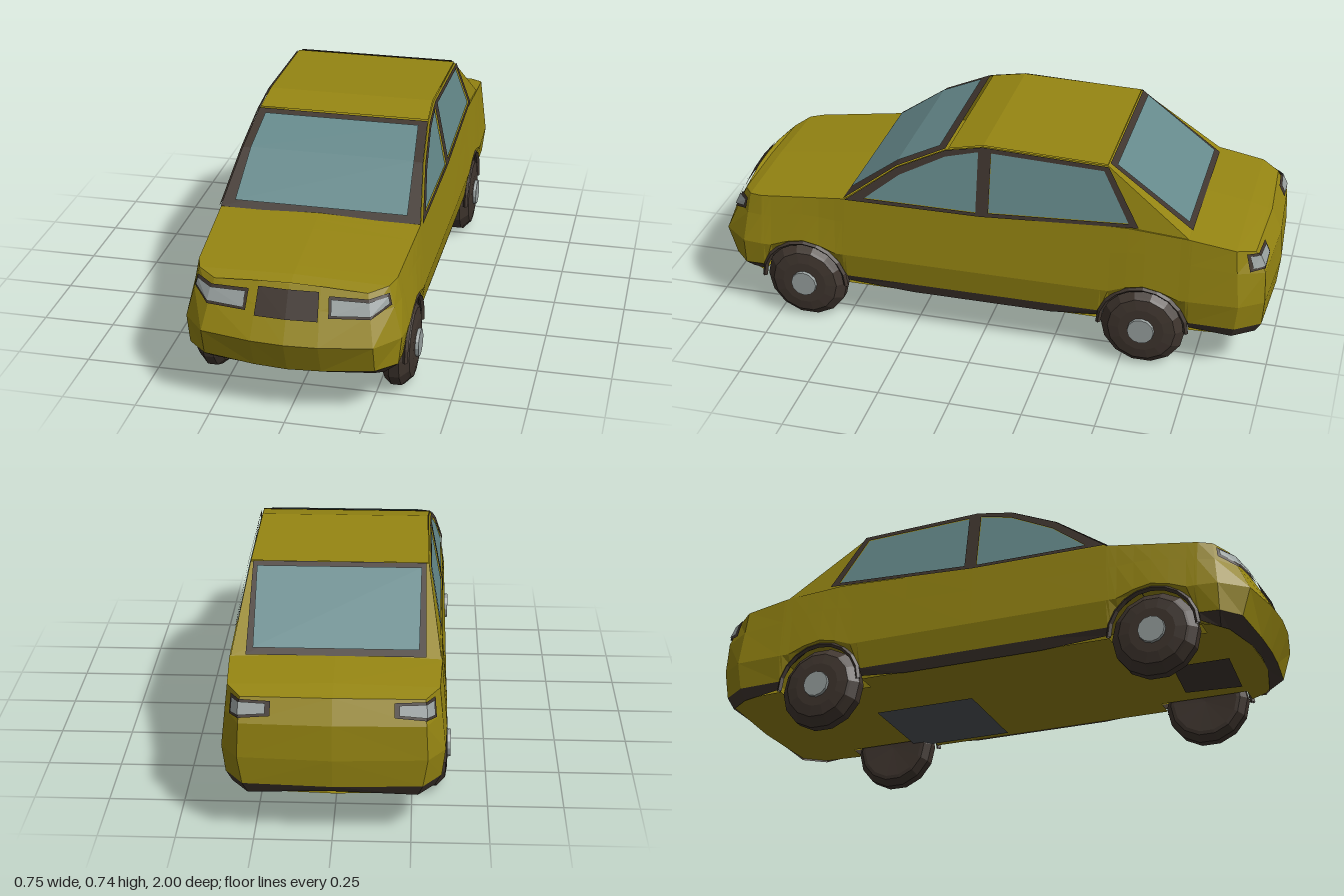
import * as THREE from 'three';

const mat = (name, color) => new THREE.MeshStandardMaterial({ name, color, side: THREE.DoubleSide });

// flat-shaded surface through rows of [x, y, z] points
function grid(rows) {
  const pos = [];
  for (let j = 0; j + 1 < rows.length; j++) {
    for (let i = 0; i + 1 < rows[j].length; i++) {
      const a = rows[j][i], b = rows[j][i + 1], c = rows[j + 1][i + 1], d = rows[j + 1][i];
      pos.push(...a, ...b, ...c, ...a, ...c, ...d);
    }
  }
  const g = new THREE.BufferGeometry();
  g.setAttribute('position', new THREE.Float32BufferAttribute(pos, 3));
  g.computeVertexNormals();
  return g;
}
function faceted(geo) {
  const g = geo.index ? geo.toNonIndexed() : geo;
  g.computeVertexNormals();
  return g;
}
const mix = (a, b, t) => a.map((v, i) => v + (b[i] - v) * t);
const shapeOf = (pts) => new THREE.Shape(pts.map((p) => new THREE.Vector2(...p)));

// wheel arches
const AXLES = [0.645, -0.575], ARCH = 0.158;
const archY = (z) => Math.max(0, ...AXLES.map((a) =>
  Math.abs(z - a) < ARCH ? 0.15 + Math.sqrt(ARCH ** 2 - (z - a) ** 2) : 0));

// height of the belt, bonnet and boot edge along z
const BELT = [[0.85, 0.455], [0.49, 0.5], [0, 0.505], [-0.5, 0.53], [-0.72, 0.515], [-0.88, 0.49]];
function beltY(z) {
  const i = Math.max(1, BELT.findIndex((p) => p[0] <= z));
  const [a, b] = [BELT[i - 1], BELT[i]];
  return a[1] + (b[1] - a[1]) * (z - a[0]) / (b[0] - a[0]);
}

// stations around half of the body; each holds skirt bottom, skirt top, waist and shoulder
function makeStations() {
  const side = (z) => {
    const arch = archY(z), hood = Math.max(0, z - 0.49) * 0.05;
    return [[0.335, Math.max(0.153, arch), z], [0.347, Math.max(0.192, arch), z],
      [0.362, Math.max(0.285, arch + 0.012), z], [0.342 - hood, beltY(z), z]];
  };
  const steps = [0.157, 0.147, 0.12, 0.06, 0, -0.06, -0.12, -0.147, -0.157];
  return [
    [[0, 0.16, 0.92], [0, 0.175, 0.955], [0, 0.285, 1.0], [0, 0.455, 0.905]],
    [[0.11, 0.157, 0.915], [0.11, 0.178, 0.95], [0.11, 0.285, 0.993], [0.1, 0.455, 0.9]],
    [[0.27, 0.152, 0.88], [0.28, 0.188, 0.93], [0.28, 0.285, 0.96], [0.25, 0.442, 0.89]],
    [[0.3, 0.15, 0.86], [0.345, 0.19, 0.87], [0.355, 0.285, 0.87], [0.31, 0.455, 0.85]],
    ...steps.map((d) => side(AXLES[0] + d)),
    side(0.25), side(0), side(-0.25),
    ...steps.map((d) => side(AXLES[1] + d)),
    [[0.325, 0.15, -0.88], [0.345, 0.19, -0.89], [0.356, 0.285, -0.9], [0.335, 0.49, -0.88]],
    [[0.27, 0.15, -0.955], [0.285, 0.19, -0.975], [0.3, 0.285, -0.982], [0.29, 0.475, -0.94]],
    [[0, 0.165, -0.97], [0, 0.19, -0.99], [0, 0.285, -1.0], [0, 0.48, -0.955]],
  ];
}

// cabin sides lean in along one plane
const wallX = (y) => 0.342 - 0.2 * (y - 0.5);
function wallPanel(pts, offset, holes = []) {
  const s = shapeOf(pts);
  holes.forEach((h) => s.holes.push(shapeOf(h)));
  const g = new THREE.ShapeGeometry(s), p = g.attributes.position;
  for (let i = 0; i < p.count; i++) {
    const z = p.getX(i), y = p.getY(i);
    p.setXYZ(i, wallX(y) + offset, y, z);
  }
  return faceted(g);
}
// full-width strip from [halfWidth, y, z] points
const strip = (pts, up = 0, out = 0) =>
  grid(pts.map(([x, y, z]) => [[-x, y + up, z + out], [x, y + up, z + out]]));

export function createModel() {
  const paint = mat('bodyPaint', 0x958512);
  const trim = mat('darkTrim', 0x40362f);
  const glass = mat('windowGlass', 0x668a8c);
  const lamp = mat('lampSilver', 0x9aa2a1);
  const metal = mat('undersideGrey', 0x50555a);
  const car = new THREE.Group();
  car.name = 'car';
  const add = (name, geo, material, parent = car) => {
    const m = new THREE.Mesh(geo, material);
    m.name = name;
    parent.add(m);
    return m;
  };

  const stations = makeStations(), N = stations.length;
  // extra crease below the shoulder, bulging at the tail
  const crease = stations.map((s, i) => {
    const p = mix(s[2], s[3], 0.6);
    if (i >= N - 2) p[2] -= 0.02;
    return p;
  });
  const ring = (k) => stations.map((s) => s[k]);
  // rectangle-like plate on the body between two rings
  const plate = (lower, upper, cols, d) => grid([1, 2].map((k) => cols.map((c) => {
    const i = Math.min(N - 2, Math.floor(c[0])), f = c[0] - i;
    const p = mix(mix(lower[i], lower[i + 1], f), mix(upper[i], upper[i + 1], f), c[k]);
    return [p[0] * (1 + d), p[1] + d * 0.5, p[2] + Math.sign(p[2]) * d];
  })));

  // cabin outline in (z, y)
  const outline = [[0.49, 0.5], [0.3, 0.64], [0.13, 0.72], [0, 0.745], [-0.43, 0.732], [-0.72, 0.515]];
  const frontWindow = [[0.415, 0.515], [0.29, 0.615], [0.13, 0.698], [0.015, 0.727], [0.015, 0.515]];
  const rearWindow = [[-0.03, 0.728], [-0.42, 0.715], [-0.515, 0.545], [-0.03, 0.519]];
  const frame = [[0.485, 0.501], [0.3, 0.64], [0.13, 0.72], [0, 0.745], [-0.435, 0.73], [-0.55, 0.534], [0, 0.503]];

  for (const side of [1, -1]) {
    const half = new THREE.Group();
    half.name = side > 0 ? 'leftSide' : 'rightSide';
    half.scale.x = side;
    car.add(half);

    add('bodySide', grid([ring(1), ring(2), crease, ring(3)]), paint, half);
    add('skirt', grid([ring(0), ring(1)]), trim, half);
    add('bonnetAndBoot', grid([ring(3), ring(3).map(([x, y, z]) => [0, y + Math.min(0.008, x * 0.03), z])]), paint, half);

    add('cabinSide', wallPanel([...outline, [-0.72, 0.5]], 0), paint, half);
    add('frontSideWindow', wallPanel(frontWindow, 0.003), glass, half);
    add('rearSideWindow', wallPanel(rearWindow, 0.003), glass, half);
    add('sideWindowFrame', wallPanel(frame, 0.007, [frontWindow, rearWindow]), trim, half);

    // lamps and grille
    add('headlampFrame', plate(ring(2), ring(3), [[1.18, 0.49, 0.86], [2, 0.52, 0.89], [2.93, 0.66, 0.88]], 0.006), trim, half);
    add('headlampLens', plate(ring(2), ring(3), [[1.23, 0.53, 0.81], [2, 0.57, 0.83], [2.85, 0.69, 0.82]], 0.01), lamp, half);
    add('grille', plate(ring(2), ring(3), [[0, 0.42, 0.91], [0.97, 0.42, 0.91]], 0.007), trim, half);
    add('tailLampFrame', plate(crease, ring(3), [[N - 2.6, 0.05, 0.85], [N - 2, 0.2, 0.9], [N - 1.66, 0.3, 0.85]], 0.006), trim, half);
    add('tailLampLens', plate(crease, ring(3), [[N - 2.5, 0.17, 0.74], [N - 2, 0.3, 0.8], [N - 1.71, 0.38, 0.76]], 0.01), lamp, half);

    // wheels and arch lips
    const tyre = [[0, 0.275], [0.115, 0.27], [0.128, 0.272], [0.148, 0.296], [0.148, 0.33],
      [0.125, 0.352], [0.118, 0.36], [0.08, 0.366], [0, 0.366]];
    AXLES.forEach((z, i) => {
      const wheel = new THREE.Group();
      wheel.name = i ? 'rearWheel' : 'frontWheel';
      wheel.position.set(0, 0.148, z);
      half.add(wheel);
      const turn = (g) => faceted(g.rotateZ(-Math.PI / 2));
      add('tyre', turn(new THREE.LatheGeometry(tyre.map((p) => new THREE.Vector2(...p)), 14)), trim, wheel);
      add('hubCap', turn(new THREE.CylinderGeometry(0.046, 0.048, 0.017, 12).translate(0, 0.3685, 0)), lamp, wheel);
      add('archLip', faceted(new THREE.TorusGeometry(0.153, 0.009, 4, 10, Math.PI)
        .rotateY(Math.PI / 2).translate(0.353, 0.004, 0)), trim, wheel);
    });
  }

  // roof and window surrounds
  const edge = outline.map(([z, y]) => [wallX(y), y, z]);
  add('windscreenFrame', strip(edge.slice(0, 3), 0.003, 0.002), trim);
  add('windscreen', strip([[0.295, 0.517, 0.474], [0.284, 0.64, 0.303], [0.27, 0.709, 0.155]], 0.008, 0.004), glass);
  add('roof', strip([[0.297, 0.724, 0.122], [0.291, 0.748, 0], [0.295, 0.735, -0.43]]), paint);
  add('rearPillars', strip(edge.slice(4)), paint);
  add('rearWindowFrame', strip([[0.286, 0.732, -0.432], [0.29, 0.518, -0.72]], 0.005, -0.005), trim);
  add('rearWindow', strip([[0.272, 0.719, -0.45], [0.268, 0.532, -0.701]], 0.009, -0.008), glass);

  // floor, narrowed at the wheels, with two underside plates
  const edgePts = [];
  stations.forEach((s) => {
    const [x, , z] = s[0];
    const d = Math.min(...AXLES.map((a) => Math.abs(z - a)));
    if (d > 0.158) edgePts.push([x, z]);
    else if (d > 0.15) {
      const leaving = AXLES.some((a) => z < a && a - z < 0.16);
      edgePts.push(...(leaving ? [[0.26, z], [x, z]] : [[x, z], [0.26, z]]));
    }
  });
  const mirrored = edgePts.slice(1, -1).reverse().map(([x, z]) => [-x, z]);
  const flat = (pts, y) => faceted(new THREE.ShapeGeometry(shapeOf(pts)).rotateX(Math.PI / 2).translate(0, y, 0));
  add('floor', flat([...edgePts, ...mirrored], 0.157), paint);
  add('tankPlate', flat([[-0.05, -0.49], [0.3, -0.49], [0.3, -0.12], [-0.05, -0.12]], 0.151), metal);
  add('enginePlate', flat([[-0.05, 0.62], [0.18, 0.6], [0.2, 0.8], [-0.05, 0.82]], 0.151), trim);
  return car;
}
